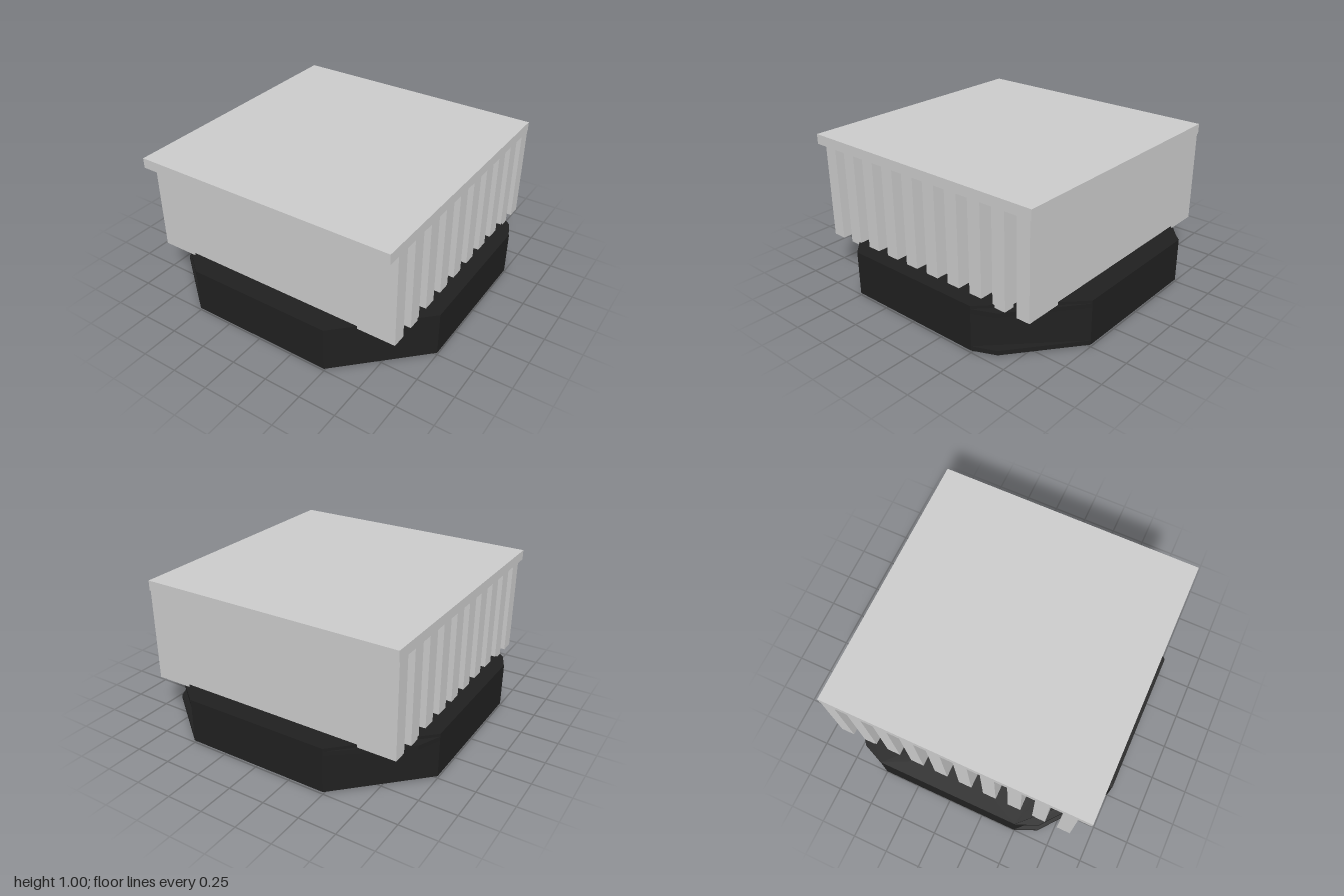
import * as THREE from 'three';

const metal = new THREE.MeshStandardMaterial({ color: 0xcccccc });
const black = new THREE.MeshStandardMaterial({ color: 0x202020, flatShading: true });

function add(parent, name, geometry, material, x = 0, y = 0, z = 0) {
  const mesh = new THREE.Mesh(geometry, material);
  mesh.name = name;
  mesh.position.set(x, y, z);
  parent.add(mesh);
  return mesh;
}

// Extrudes an outline of [x, z] points upward from y = 0
function slab(points, height, holeRadius = 0) {
  const shape = new THREE.Shape(points.map(([x, z]) => new THREE.Vector2(x, -z)));
  if (holeRadius) shape.holes.push(new THREE.Path().absarc(0, 0, holeRadius, 0, Math.PI * 2, true));
  return new THREE.ExtrudeGeometry(shape, { depth: height, bevelEnabled: false, curveSegments: 28 })
    .rotateX(-Math.PI / 2);
}

// Swept, pitched fan blade made by bending a thin box
function bladeGeometry() {
  const geometry = new THREE.BoxGeometry(1, 0.018, 1, 8, 1, 5);
  const p = geometry.attributes.position;
  for (let i = 0; i < p.count; i++) {
    const u = p.getX(i) + 0.5;
    const v = p.getZ(i) + 0.5;
    const radius = 0.3 + 0.43 * u;
    const angle = 0.65 * u * u + 0.5 * v;
    const y = 0.28 - 0.2 * v - 0.04 * Math.sin(Math.PI * v) + p.getY(i);
    p.setXYZ(i, radius * Math.cos(angle), y, -radius * Math.sin(angle));
  }
  // The bend keeps the box's handedness: radius outward, y up, angle toward -z
  const index = geometry.index.array;
  for (let i = 0; i < index.length; i += 3) [index[i], index[i + 1]] = [index[i + 1], index[i]];
  geometry.computeVertexNormals();
  return geometry;
}

export function createModel() {
  const model = new THREE.Group();
  model.name = 'heatsinkWithFan';

  // Heatsink: base plate on top with fins hanging below
  const heatsink = new THREE.Group();
  heatsink.name = 'heatsink';
  model.add(heatsink);
  add(heatsink, 'basePlate', new THREE.BoxGeometry(1.8, 0.068, 1.81), metal, 0, 0.966, 0.04);
  const fin = new THREE.BoxGeometry(1.8, 0.632, 0.094);
  for (let i = 0; i < 10; i++) add(heatsink, 'fin', fin, metal, 0, 0.616, 0.81 - 0.18 * i);

  // Fan housing: octagonal block with a round bore
  const housing = new THREE.Group();
  housing.name = 'fanHousing';
  model.add(housing);
  const octagon = [[0.5, 1], [1, 0.5], [1, -0.5], [0.5, -1], [-0.5, -1], [-1, -0.5], [-1, 0.5], [-0.5, 1]];
  add(housing, 'frame', slab(octagon, 0.305, 0.8), black, 0, 0.015, 0);

  // Corner lugs on three of the chamfers
  const lugs = [[-1, 1, [0.015, 0.27]], [1, -1, [0.015, 0.27]], [-1, -1, [0.27]]];
  for (const [sx, sz, heights] of lugs) {
    const outline = [[0.5, 1], [0.935, 0.65], [1, 0.5], [0.74, 0.74]].map(([x, z]) => [x * sx, z * sz]);
    for (const y of heights) add(housing, 'cornerLug', slab(outline, 0.03), black, 0, y, 0);
  }

  // Rotor: hub and ring of blades
  const rotor = new THREE.Group();
  rotor.name = 'rotor';
  rotor.position.z = 0.02;
  model.add(rotor);
  add(rotor, 'hub', new THREE.CylinderGeometry(0.33, 0.33, 0.33, 24), black, 0, 0.165, 0);
  const blade = bladeGeometry();
  const bladeCount = 11;
  for (let i = 0; i < bladeCount; i++) {
    add(rotor, 'blade', blade, black).rotation.y = (i / bladeCount) * Math.PI * 2;
  }
  return model;
}
